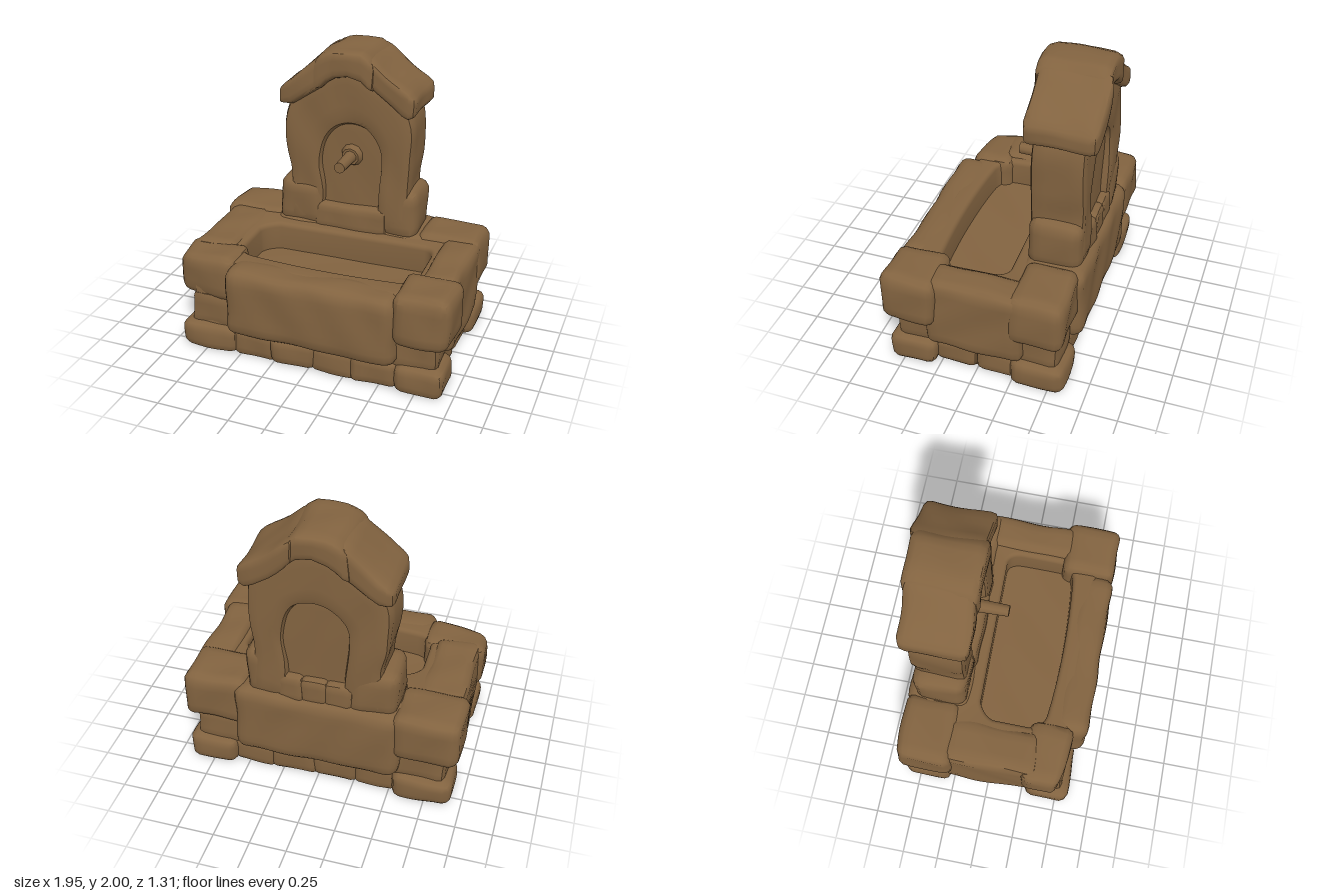
import * as THREE from 'three';
import { mergeVertices, toCreasedNormals } from 'three/addons/utils/BufferGeometryUtils.js';

const stoneMat = new THREE.MeshStandardMaterial({ color: 0x826340 });
stoneMat.name = 'brown stone';

// Smooth pseudo-noise, dependent on position so shared corners stay closed
function wobble(x, y, z, s) {
  return 0.6 * Math.sin(8.3 * x + 5.1 * y + 3.7 * z + s) * Math.cos(6.9 * z - 4.3 * x + 2 * s)
    + 0.4 * Math.sin(17 * y + 11 * z - 13 * x + 3 * s);
}

function roughen(geo, amp, seed) {
  const p = geo.attributes.position;
  for (let i = 0; i < p.count; i++) {
    const x = p.getX(i), y = p.getY(i), z = p.getZ(i);
    p.setXYZ(i, x + amp * wobble(x, y, z, seed),
      Math.max(0, y + amp * 0.8 * wobble(y, z, x, seed + 2)),
      z + amp * wobble(z, x, y, seed + 4));
  }
  return geo;
}

function mesh(geo, name) {
  const m = new THREE.Mesh(geo, stoneMat);
  m.name = name;
  return m;
}

// Rounded, slightly uneven block between two corners; warp may bend it
function stone(name, [x0, x1], [y0, y1], [z0, z1], radius = 0.065, amp = 0.011, warp = null) {
  const size = [x1 - x0, y1 - y0, z1 - z0];
  let geo = new THREE.BoxGeometry(...size, ...size.map(s => Math.max(6, Math.round(s / 0.05))));
  geo.deleteAttribute('uv');
  geo.deleteAttribute('normal');
  geo = mergeVertices(geo);
  const r = Math.min(radius, ...size.map(s => s * 0.45));
  const inner = new THREE.Vector3(...size).multiplyScalar(0.5).subScalar(r);
  const low = inner.clone().negate();
  const centre = new THREE.Vector3(x0 + x1, y0 + y1, z0 + z1).multiplyScalar(0.5);
  const p = geo.attributes.position, v = new THREE.Vector3(), c = new THREE.Vector3();
  for (let i = 0; i < p.count; i++) {
    v.fromBufferAttribute(p, i);
    c.copy(v).clamp(low, inner);
    v.sub(c);
    if (v.lengthSq() > 0) v.setLength(Math.min(r, v.length()));
    v.add(c).add(centre);
    if (warp) warp(v);
    p.setXYZ(i, v.x, v.y, v.z);
  }
  return mesh(toCreasedNormals(roughen(geo, amp, x0 * 7 + z0 * 5 + y0), 0.7), name);
}

function curve(points) {
  return new THREE.CatmullRomCurve3(points.map(([x, y]) => new THREE.Vector3(x, y, 0)), false, 'centripetal');
}

function createBase() {
  const g = new THREE.Group();
  g.name = 'base';
  g.add(stone('footing', [-0.83, 0.83], [0, 0.22], [-0.52, 0.53], 0.02, 0.006));
  // Bottom corner stones and the recessed stones above them
  for (const [x, z] of [[[-0.93, -0.52], [0.27, 0.585]], [[0.6, 0.935], [0.28, 0.6]],
    [[-0.93, -0.52], [-0.61, -0.27]], [[0.58, 0.92], [-0.605, -0.24]]]) {
    g.add(stone('footingCorner', x, [-0.01, 0.195], z, 0.06));
    const shift = ([a, b]) => (a + b > 0 ? [a - 0.05, b - 0.05] : [a + 0.05, b + 0.05]);
    g.add(stone('recessedStone', shift(x), [0.15, 0.42], shift(z), 0.05));
  }
  // Overlapping stones along the foot of each side, set back from the corners
  for (let i = 0; i < 4; i++) {
    const x = -0.56 + i * 0.285;
    g.add(stone('frontFootStone', [x, x + 0.33], [-0.01, 0.2], [0.35, 0.56 + 0.015 * (i % 2)], 0.05));
    g.add(stone('backFootStone', [x, x + 0.33], [-0.01, 0.2], [-0.55, -0.35], 0.05));
  }
  for (const s of [-1, 1]) for (const z of [-0.3, 0]) {
    const x = [s * 0.6, s * 0.86].sort((a, b) => a - b);
    g.add(stone('sideFootStone', x, [-0.01, 0.2], [z, z + 0.32], 0.05));
  }
  return g;
}

function createTrough() {
  const g = new THREE.Group();
  g.name = 'trough';
  // Solid core; its top is the basin floor
  g.add(stone('basinFloor', [-0.84, 0.84], [0.15, 0.49], [-0.52, 0.52], 0.02, 0.005));
  // Rim with an oblong opening, falling slightly to the front
  const rim = new THREE.Shape([[-0.86, -0.5], [0.86, -0.5], [0.86, 0.52], [-0.86, 0.52]]
    .map(([x, y]) => new THREE.Vector2(x, y)));
  const hole = new THREE.Path();
  hole.moveTo(-0.48, 0.13);
  hole.lineTo(0.58, 0.15);
  hole.quadraticCurveTo(0.65, 0.14, 0.65, 0.04);
  hole.lineTo(0.65, -0.23);
  hole.quadraticCurveTo(0.64, -0.33, 0.53, -0.34);
  hole.quadraticCurveTo(0, -0.39, -0.48, -0.34);
  hole.quadraticCurveTo(-0.58, -0.32, -0.59, -0.23);
  hole.lineTo(-0.59, 0.02);
  hole.quadraticCurveTo(-0.57, 0.09, -0.48, 0.13);
  rim.holes.push(hole);
  const geo = new THREE.ExtrudeGeometry(rim, {
    depth: 0.22, bevelSize: 0.03, bevelThickness: 0.035, bevelOffset: -0.03, bevelSegments: 4, curveSegments: 8,
  });
  geo.rotateX(0.03 - Math.PI / 2).translate(0, 0.435, 0);
  g.add(mesh(toCreasedNormals(geo, 0.7), 'basinRim'));
  // Large outer blocks
  g.add(stone('frontBlock', [-0.58, 0.62], [0.18, 0.68], [0.385, 0.64], 0.08));
  g.add(stone('backBlock', [-0.57, 0.57], [0.18, 0.72], [-0.63, -0.19], 0.08));
  g.add(stone('rightSideBlock', [-0.93, -0.62], [0.19, 0.705], [-0.32, 0.34], 0.055));
  g.add(stone('leftSideBlock', [0.68, 0.93], [0.19, 0.72], [-0.32, 0.34], 0.055));
  // Upper corner blocks; the front right one falls away to its outer corner
  g.add(stone('frontRightCorner', [-0.965, -0.54], [0.375, 0.7], [0.24, 0.56], 0.065, 0.011, v => {
    const out = (-0.54 - v.x) / 0.425;
    if (v.z > 0.4) v.z -= 0.06 * out * (v.z - 0.4) / 0.16;
    if (v.y > 0.55) v.y -= 0.03 * out * (v.z - 0.24) / 0.32;
  }));
  g.add(stone('frontLeftCorner', [0.59, 0.97], [0.365, 0.73], [0.25, 0.63]));
  g.add(stone('backRightCorner', [-0.97, -0.51], [0.37, 0.72], [-0.625, -0.24]));
  g.add(stone('backLeftCorner', [0.49, 0.935], [0.37, 0.73], [-0.595, -0.22]));
  return g;
}

function createWall() {
  const g = new THREE.Group();
  g.name = 'backWall';
  // Masonry arch: a long block bent between the niche edge and the wall outline
  const inner = curve([[-0.19, 0.68], [-0.19, 0.95], [-0.215, 1.18], [-0.185, 1.34], [-0.1, 1.435], [0, 1.46],
    [0.11, 1.435], [0.185, 1.34], [0.215, 1.18], [0.2, 0.95], [0.2, 0.68]]);
  const outer = curve([[-0.47, 0.68], [-0.44, 1.02], [-0.475, 1.24], [-0.475, 1.51], [-0.4, 1.66], [-0.02, 1.9],
    [0.37, 1.68], [0.44, 1.53], [0.44, 1.26], [0.42, 1.05], [0.44, 0.68]]);
  g.add(stone('archedWall', [0, 2.4], [0, 0.25], [-0.578, -0.218], 0.045, 0.008, v => {
    const u = THREE.MathUtils.clamp(v.x / 2.4, 0, 1);
    const p = inner.getPoint(u).lerp(outer.getPoint(u), v.y / 0.25);
    v.set(p.x, p.y, v.z);
  }));
  g.add(stone('nichePanel', [-0.27, 0.27], [0.72, 1.51], [-0.53, -0.265], 0.02, 0.004));
  // Stones at the foot of the wall
  g.add(stone('rightPlinth', [-0.535, -0.2], [0.66, 1.01], [-0.58, -0.215], 0.07));
  g.add(stone('leftPlinth', [0.22, 0.485], [0.66, 1.03], [-0.58, -0.215], 0.07));
  g.add(stone('frontLedge', [-0.25, 0.28], [0.66, 0.87], [-0.4, -0.2], 0.04, 0.01));
  for (const x of [-0.25, -0.09, 0.08]) {
    g.add(stone('backLedgeStone', [x, x + 0.2], [0.66, 0.87], [-0.59, -0.36], 0.04));
  }
  return g;
}

function createRoof() {
  const g = new THREE.Group();
  g.name = 'roof';
  // Underside and top heights across the gable: [x, under, top]
  const profile = [[-0.52, 1.57, 1.68], [-0.4, 1.575, 1.765], [-0.2, 1.71, 1.955], [-0.12, 1.79, 1.99], [0, 1.82, 1.995],
    [0.1, 1.8, 1.99], [0.17, 1.74, 1.935], [0.28, 1.65, 1.845], [0.4, 1.565, 1.765], [0.49, 1.59, 1.7]];
  const bend = v => {
    const i = Math.max(1, profile.findIndex(q => q[0] >= v.x));
    const [a, b] = [profile[i - 1], profile[i]];
    const t = (v.x - a[0]) / (b[0] - a[0]);
    const under = a[1] + t * (b[1] - a[1]), top = a[2] + t * (b[2] - a[2]);
    v.y = under + (top - under) * v.y / 0.2;
  };
  // Three cap stones bent over the wall
  g.add(stone('rightCapStone', [-0.505, -0.16], [0, 0.2], [-0.615, -0.165], 0.045, 0.01, bend));
  g.add(stone('ridgeCapStone', [-0.24, 0.19], [0, 0.2], [-0.63, -0.15], 0.045, 0.01, bend));
  g.add(stone('leftCapStone', [0.11, 0.47], [0, 0.2], [-0.65, -0.17], 0.045, 0.01, bend));
  return g;
}

function createSpout() {
  const g = new THREE.Group();
  g.name = 'spout';
  const cyl = (name, r0, r1, z0, z1) => {
    const geo = new THREE.CylinderGeometry(r0, r1, z1 - z0, 10).rotateX(Math.PI / 2);
    g.add(mesh(geo.translate(0.005, 1.24, (z0 + z1) / 2), name));
  };
  cyl('spoutFlange', 0.06, 0.09, -0.29, -0.22);
  cyl('spoutPipe', 0.038, 0.046, -0.29, -0.015);
  return g;
}

export function createModel() {
  const model = new THREE.Group();
  model.name = 'stoneFountain';
  model.add(createBase(), createTrough(), createWall(), createRoof(), createSpout());
  return model;
}
